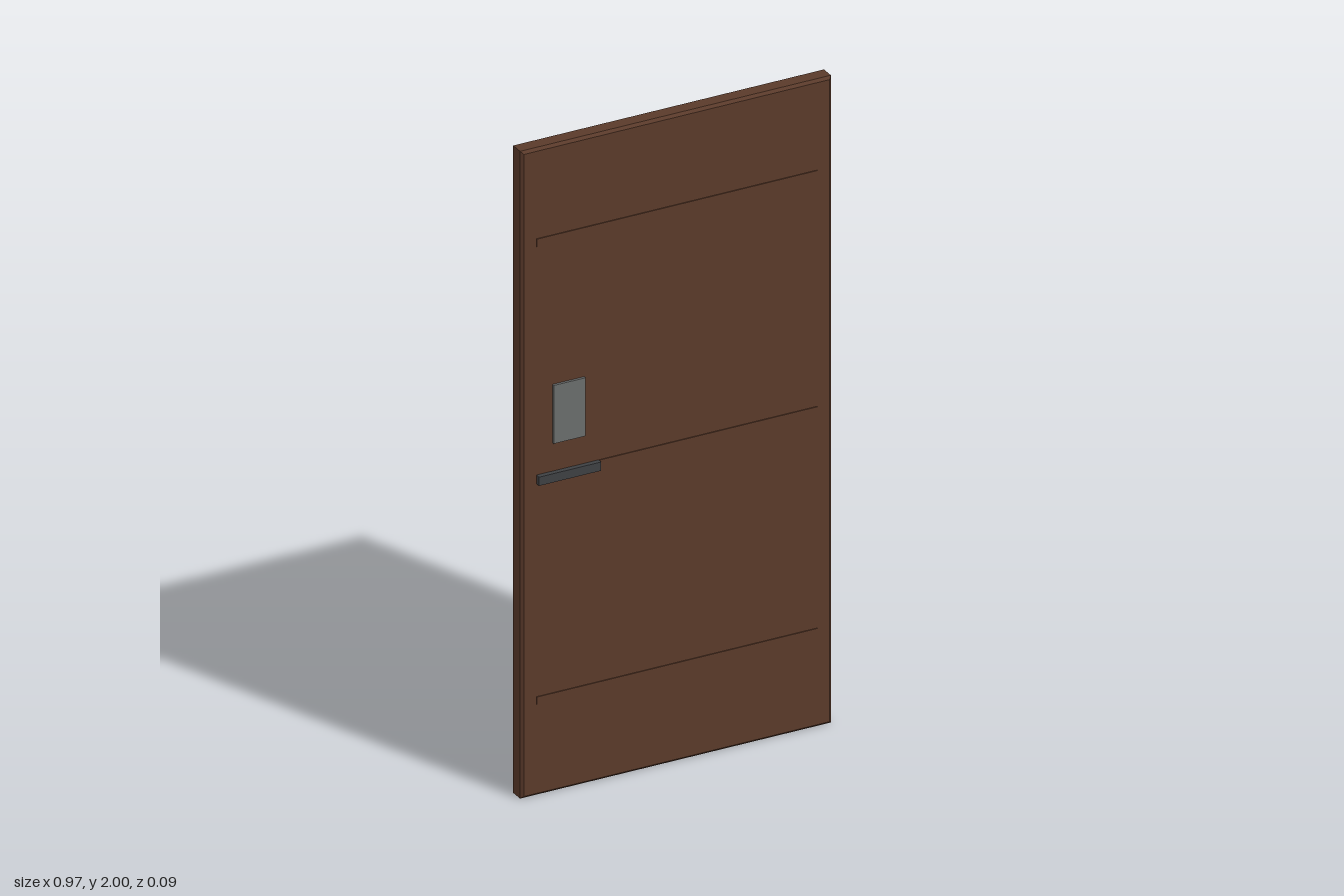
import * as THREE from 'three';

const wood = new THREE.MeshStandardMaterial({ name: 'brown wood', color: 0x5a3a2a });
const steel = new THREE.MeshStandardMaterial({ name: 'grey steel', color: 0x6a6d6c });
const iron = new THREE.MeshStandardMaterial({ name: 'dark iron', color: 0x3e4043 });

function box(name, material, x0, x1, y0, y1, z0, z1) {
  const mesh = new THREE.Mesh(new THREE.BoxGeometry(x1 - x0, y1 - y0, z1 - z0), material);
  mesh.position.set((x0 + x1) / 2, (y0 + y1) / 2, (z0 + z1) / 2);
  mesh.name = name;
  return mesh;
}

// Slab with chamfered edges all round
function doorSlab() {
  const w = 0.487, h = 1, d = 0.028, b = 0.008;
  const shape = new THREE.Shape([
    new THREE.Vector2(-w + b, -h + b), new THREE.Vector2(w - b, -h + b),
    new THREE.Vector2(w - b, h - b), new THREE.Vector2(-w + b, h - b),
  ]);
  const geometry = new THREE.ExtrudeGeometry(shape, {
    depth: 2 * (d - b), bevelEnabled: true, bevelSize: b, bevelThickness: b, bevelSegments: 1,
  });
  geometry.translate(0, h, -(d - b));
  const mesh = new THREE.Mesh(geometry, wood);
  mesh.name = 'doorSlab';
  return mesh;
}

export function createModel() {
  const door = new THREE.Group();
  door.name = 'door';
  door.add(doorSlab());

  // Same fittings on the front and the back
  for (const [label, s] of [['front', 1], ['back', -1]]) {
    const side = (name, material, x0, x1, y0, y1, z0, z1) =>
      door.add(box(label + name, material, x0, x1, y0, y1, s > 0 ? z0 : -z1, s > 0 ? z1 : -z0));

    // Thin raised rails
    for (const y of [0.295, 0.98, 1.71]) side('Rail', wood, -0.44, 0.44, y - 0.012, y + 0.012, 0.02, 0.031);

    side('LockPlate', steel, -0.39, -0.29, 1.08, 1.26, 0.02, 0.036);
    side('Handle', iron, -0.44, -0.245, 0.965, 0.992, 0.02, 0.043);
  }
  return door;
}
